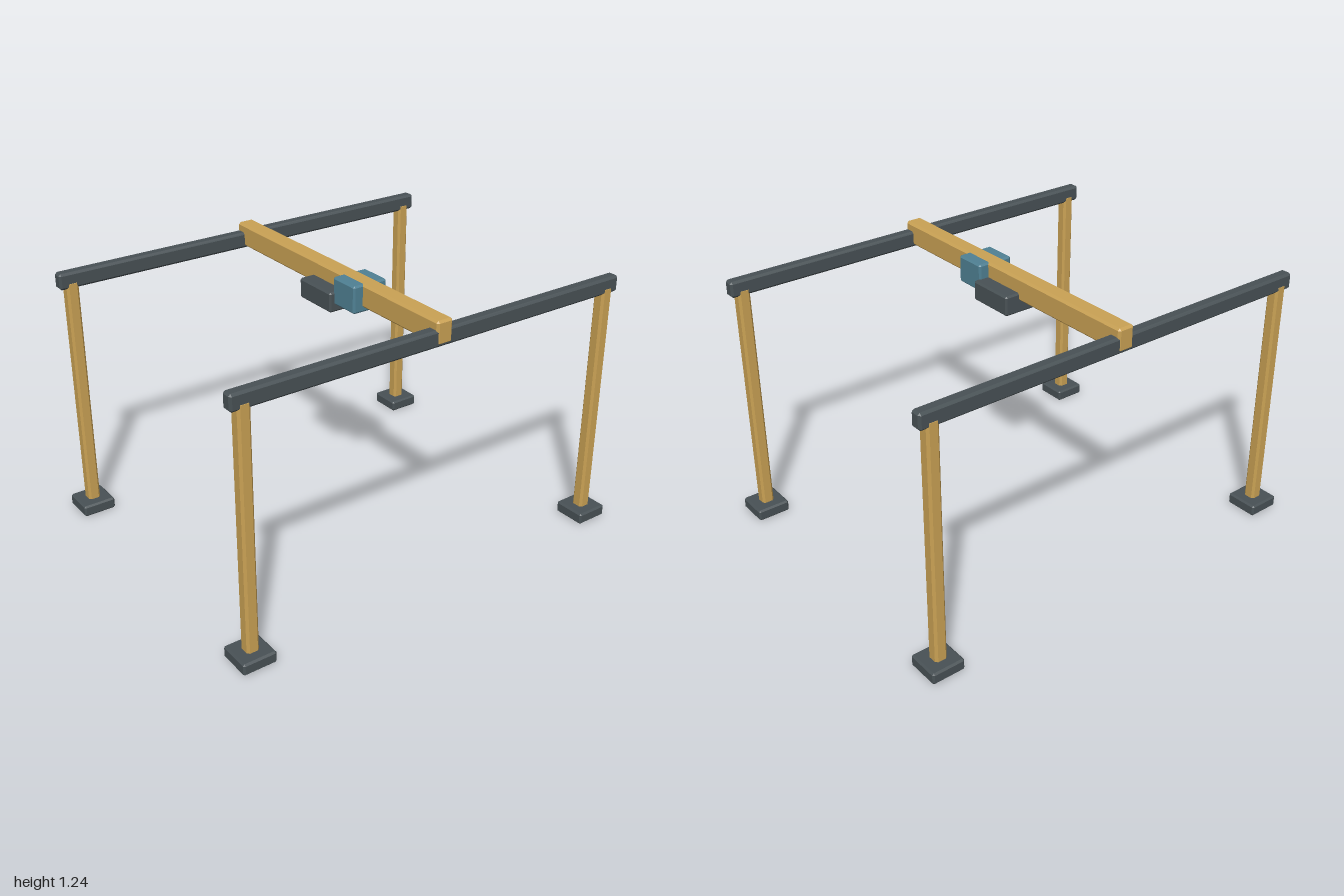
import * as THREE from 'three';
import { ConvexGeometry } from 'three/addons/geometries/ConvexGeometry.js';

// Box with flat chamfered edges
function chamferBox(w, h, d, c) {
  const points = [];
  for (const sx of [-1, 1]) for (const sy of [-1, 1]) for (const sz of [-1, 1]) {
    const x = w / 2, y = h / 2, z = d / 2;
    points.push(
      new THREE.Vector3(sx * x, sy * (y - c), sz * (z - c)),
      new THREE.Vector3(sx * (x - c), sy * y, sz * (z - c)),
      new THREE.Vector3(sx * (x - c), sy * (y - c), sz * z),
    );
  }
  return new ConvexGeometry(points);
}

export function createModel() {
  const gold = new THREE.MeshStandardMaterial({ color: 0xc9a154 });
  gold.name = 'ochre paint';
  const dark = new THREE.MeshStandardMaterial({ color: 0x485155 });
  dark.name = 'dark steel';
  const blue = new THREE.MeshStandardMaterial({ color: 0x4f8093 });
  blue.name = 'blue paint';

  const model = new THREE.Group();
  model.name = 'gantryCrane';

  // size and centre in x, z; bottom and top in y
  function block(name, material, w, d, bottom, top, x, z, c = 0.01) {
    const mesh = new THREE.Mesh(chamferBox(w, top - bottom, d, c), material);
    mesh.name = name;
    mesh.position.set(x, (bottom + top) / 2, z);
    model.add(mesh);
  }

  for (const sx of [-1, 1]) {
    const side = sx > 0 ? 'left' : 'right';
    // Runway rail
    block(side + 'Rail', dark, 0.055, 1.964, 1.127, 1.202, sx * 0.705, 0);
    // Legs and foot pads
    for (const sz of [-1, 1]) {
      const end = side + (sz > 0 ? 'Front' : 'Back');
      block(end + 'Leg', gold, 0.057, 0.057, 0.03, 1.16, sx * 0.705, sz * 0.922);
      block(end + 'Foot', dark, 0.155, 0.155, 0, 0.055, sx * 0.705, sz * 0.9225, 0.008);
    }
  }

  // Bridge beam
  block('bridgeBeam', gold, 1.47, 0.08, 1.135, 1.241, 0, 0);
  // Trolley under the beam and hoist housing around it
  block('trolley', dark, 0.228, 0.22, 1.08, 1.172, 0, 0, 0.008);
  block('hoistHousing', blue, 0.15, 0.172, 1.114, 1.239, 0.176, 0, 0.008);

  return model;
}
